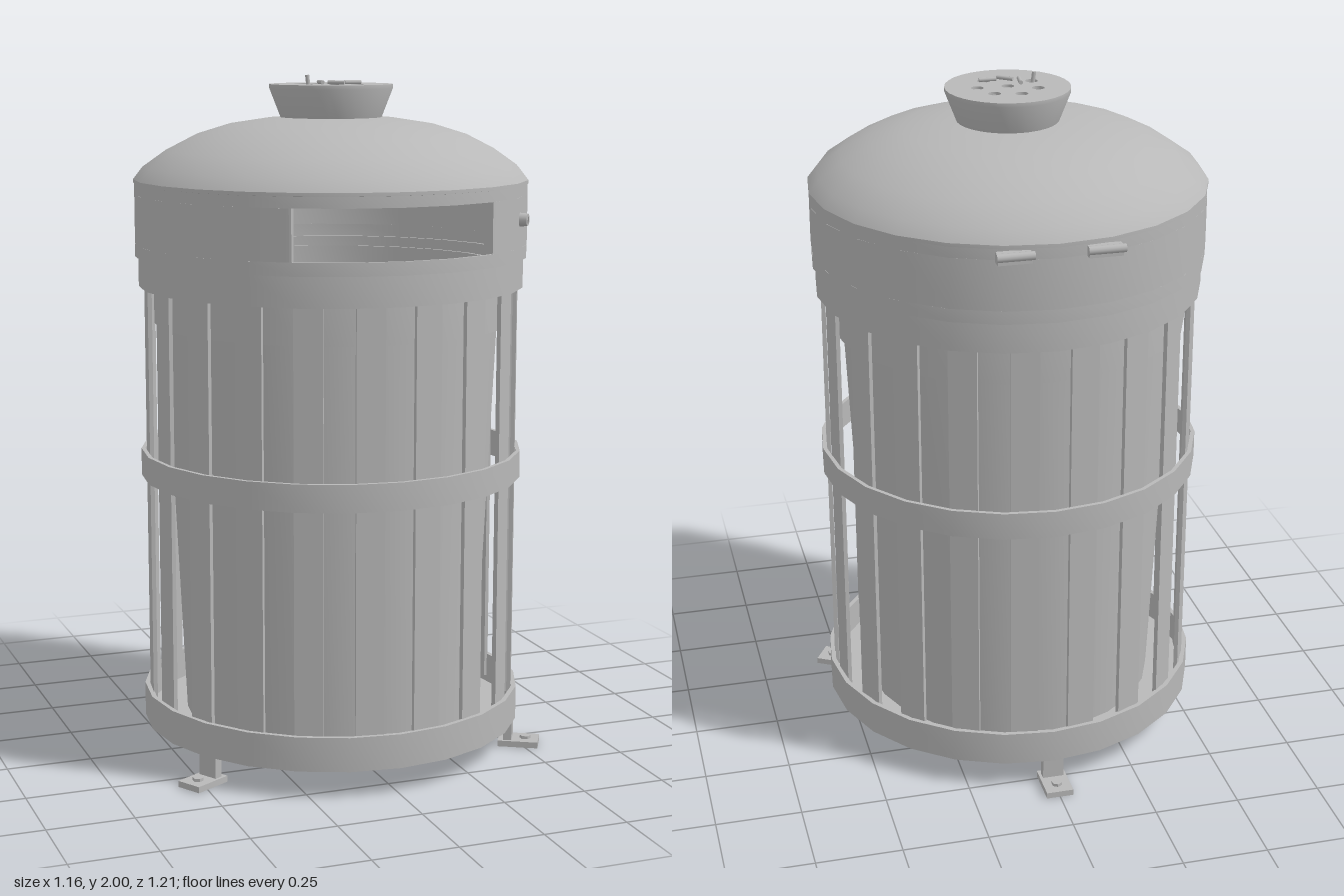
import * as THREE from 'three';
import { toCreasedNormals } from 'three/addons/utils/BufferGeometryUtils.js';

const AXIS_Z = 0.03; // the bin's axis sits slightly forward of centre

export function createModel() {
  const model = new THREE.Group();
  model.name = 'litterBin';
  const bin = new THREE.Group();
  bin.name = 'binBody';
  bin.position.z = AXIS_Z;
  model.add(bin);

  const grey = new THREE.MeshStandardMaterial({ color: 0xb8b8b8, side: THREE.DoubleSide });
  grey.name = 'greyMetal';

  const add = (name, geometry, parent = bin) => {
    const mesh = new THREE.Mesh(geometry, grey);
    mesh.name = name;
    parent.add(mesh);
    return mesh;
  };
  const lathe = (points, sides = 24, start = 0, sweep = Math.PI * 2) =>
    toCreasedNormals(new THREE.LatheGeometry(points.map(p => new THREE.Vector2(...p)), sides, start, sweep), 0.5);
  // Closed hollow band of the given outer radius and thickness
  const band = (r, y0, y1, t = 0.01, ...arc) =>
    lathe([[r - t, y0], [r, y0], [r, y1], [r - t, y1], [r - t, y0]], ...arc);
  // Group turned about the axis; its local +z points outwards
  const spoke = (name, angle) => {
    const g = new THREE.Group();
    g.name = name;
    g.rotation.y = angle;
    bin.add(g);
    return g;
  };

  // Frame rings and floor
  add('bottomRing', lathe([[0, 0.08], [0.566, 0.08], [0.566, 0.18], [0.552, 0.18], [0.552, 0.09], [0, 0.09]]));
  add('middleRing', band(0.566, 0.825, 0.905, 0.012));
  add('topRing', band(0.566, 1.39, 1.477, 0.012));

  // Upright slats
  const slatGeometry = new THREE.BoxGeometry(0.082, 1.32, 0.012);
  for (let i = 0; i < 20; i++) {
    const s = spoke('slat', (i + 0.5) * Math.PI / 10);
    add('slatBoard', slatGeometry, s).position.set(0, 0.77, 0.543);
  }

  // Tapered inner bucket and the collar above it
  add('innerBucket', lathe([[0, 0.1], [0.438, 0.1], [0.492, 1.28], [0.484, 1.28], [0.43, 0.11], [0, 0.11]]));
  add('innerCollar', band(0.522, 1.28, 1.45, 0.01));

  // Hood wall with the front opening
  const R = 0.575, half = 0.556;
  add('hoodLowerBand', band(R, 1.477, 1.515));
  add('hoodWall', band(R, 1.515, 1.66, 0.01, 20, half, Math.PI * 2 - 2 * half));
  add('hoodUpperBand', band(R, 1.66, 1.70));
  for (const side of [-1, 1]) {
    const j = spoke('openingJamb', side * half);
    add('jambPlate', new THREE.BoxGeometry(0.012, 0.147, 0.03), j).position.set(0, 1.5875, R - 0.018);
  }

  // Domed lid
  add('domeLid', lathe([[0.565, 1.69], [0.578, 1.692], [0.578, 1.702], [0.55, 1.738], [0.482, 1.786],
    [0.4, 1.828], [0.3, 1.859], [0.19, 1.876], [0.09, 1.883], [0, 1.885]]));

  // Ash cup with a perforated cover
  add('ashCup', lathe([[0, 1.88], [0.145, 1.872], [0.18, 1.962], [0.18, 1.974], [0.174, 1.974], [0.14, 1.895], [0, 1.895]], 32));
  const cover = new THREE.Shape().absarc(0, 0, 0.176, 0, Math.PI * 2, false);
  const hole = (x, y) => cover.holes.push(new THREE.Path().absarc(x, y, 0.018, 0, Math.PI * 2, true));
  hole(0, 0);
  for (let i = 0; i < 7; i++) {
    const a = i * Math.PI * 2 / 7;
    hole(0.088 * Math.cos(a), 0.088 * Math.sin(a));
  }
  const coverGeometry = new THREE.ExtrudeGeometry(cover, { depth: 0.008, bevelEnabled: false, curveSegments: 20 });
  coverGeometry.rotateX(-Math.PI / 2);
  add('ashCover', coverGeometry).position.y = 1.966;

  // Cigarette ends: three lying down, one standing in a hole
  const buttGeometry = new THREE.CylinderGeometry(0.006, 0.006, 0.05, 10);
  for (const [x, z, turn] of [[-0.043, 0.03, 1.45], [-0.008, 0.065, -0.7], [0.044, 0.062, 0]]) {
    const butt = add('cigaretteEnd', buttGeometry);
    butt.position.set(x, 1.98, z);
    butt.rotation.set(0, turn, Math.PI / 2);
  }
  const standing = add('standingCigaretteEnd', buttGeometry);
  standing.position.set(-0.083, 1.976, 0.034);
  standing.rotation.z = 0.12;

  // Lock on the hood
  const lock = spoke('lock', 0.87);
  const barrel = add('lockBarrel', new THREE.CylinderGeometry(0.018, 0.02, 0.03, 16), lock);
  barrel.position.set(0, 1.597, 0.58);
  barrel.rotation.x = Math.PI / 2;
  add('keySlot', new THREE.BoxGeometry(0.005, 0.02, 0.004), lock).position.set(0, 1.597, 0.596);

  // Rear hinges
  for (const side of [-1, 1]) {
    const hinge = new THREE.Group();
    hinge.name = 'hinge';
    hinge.position.set(side * 0.125, 1.68, -0.59);
    bin.add(hinge);
    const pin = add('hingePin', new THREE.CylinderGeometry(0.012, 0.012, 0.104, 12), hinge);
    pin.rotation.z = Math.PI / 2;
    add('hingeLeaf', new THREE.BoxGeometry(0.095, 0.03, 0.03), hinge).position.set(0, -0.008, 0.018);
  }

  // Three feet with bolted ground plates
  for (let i = 0; i < 3; i++) {
    const foot = spoke('foot', Math.PI + i * Math.PI * 2 / 3);
    add('footPlate', new THREE.BoxGeometry(0.08, 0.018, 0.12), foot).position.set(0, 0.009, 0.577);
    add('footPost', new THREE.BoxGeometry(0.062, 0.075, 0.025), foot).position.set(0, 0.05, 0.545);
    add('footBolt', toCreasedNormals(new THREE.CylinderGeometry(0.016, 0.016, 0.01, 6), 0.3), foot)
      .position.set(0, 0.022, 0.597);
  }
  return model;
}
